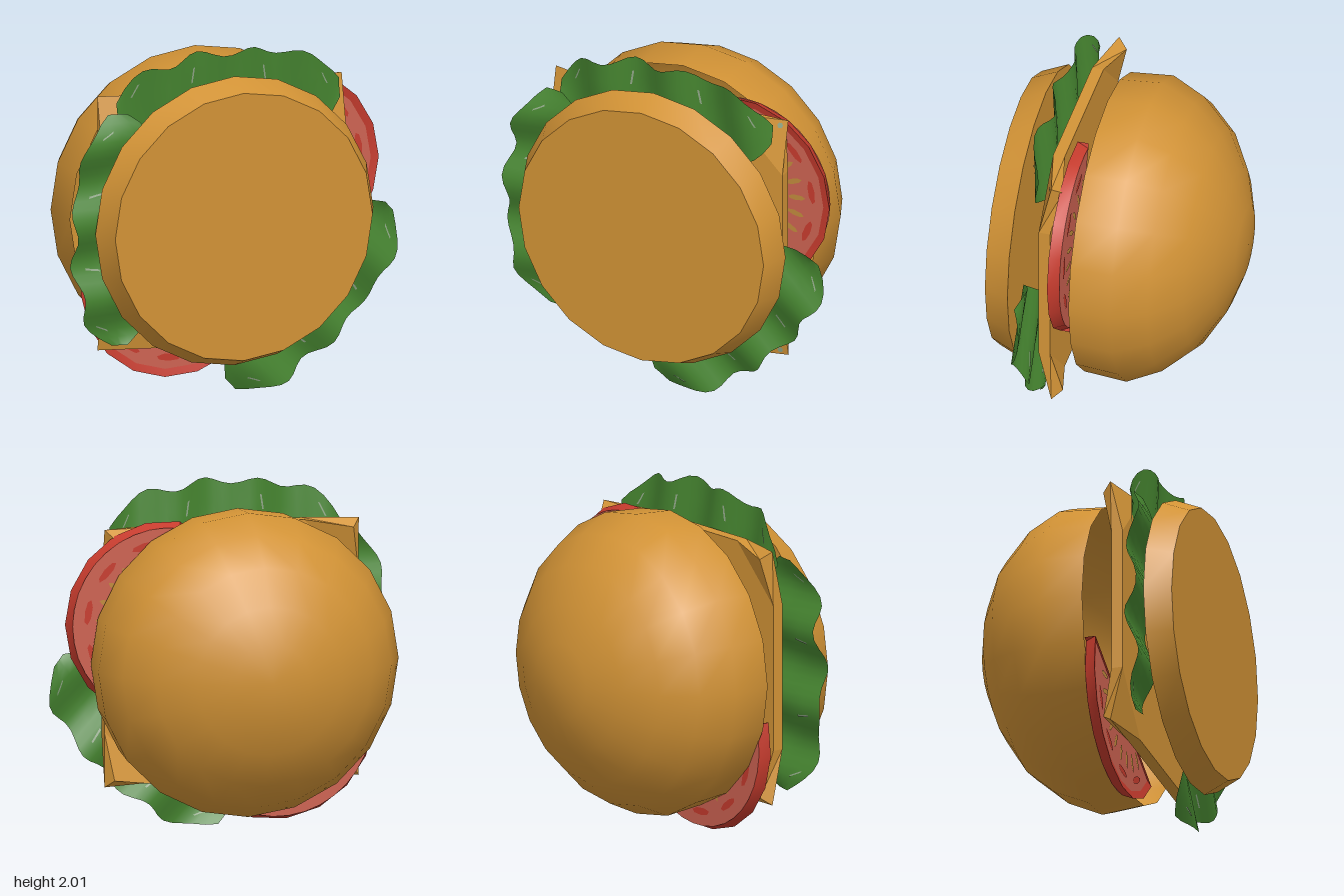
import * as THREE from 'three';
import { toCreasedNormals } from 'three/addons/utils/BufferGeometryUtils.js';

const mat = (name, color, side = THREE.FrontSide) => {
  const m = new THREE.MeshStandardMaterial({ color, side });
  m.name = name;
  return m;
};
const V = (x, y) => new THREE.Vector2(x, y);
const rad = THREE.MathUtils.degToRad;

export function createModel() {
  const bun = mat('bun orange', 0xd19235, THREE.DoubleSide);
  const cheese = mat('cheese orange', 0xd39437);
  const skin = mat('tomato red', 0xc63b2d, THREE.DoubleSide);
  const flesh = mat('tomato flesh', 0xcc6251, THREE.DoubleSide);
  const seed = mat('tomato seed', 0xc08a3c, THREE.DoubleSide);
  const green = mat('lettuce green', 0x468530, THREE.DoubleSide);
  const vein = mat('lettuce vein', 0x8fa586, THREE.DoubleSide);

  const model = new THREE.Group();
  model.name = 'burger';
  const add = (name, geometry, material, parent = model) => {
    const mesh = new THREE.Mesh(geometry, material);
    mesh.name = name;
    parent.add(mesh);
    return mesh;
  };

  // Buns: profiles of [radius, z] turned around the z axis; the top one is a hollow dome
  const turned = (name, profile) => {
    const g = new THREE.LatheGeometry(profile.map(([r, z]) => V(r, z)), 20);
    g.rotateX(Math.PI / 2);
    add(name, toCreasedNormals(g, 0.8), bun).position.set(-0.015, 1.008, 0);
  };
  turned('topBun', [[0, -0.672], [0.22, -0.65], [0.43, -0.575], [0.635, -0.455],
    [0.79, -0.285], [0.882, -0.09], [0.862, 0.16]]);
  turned('bottomBun', [[0, 0.523], [0.85, 0.523], [0.787, 0.672], [0, 0.672]]);

  // Cheese: square slab with its four corners folded backwards
  add('cheeseSlice', cheeseGeometry(0.747, 0.32), cheese).position.set(-0.015, 1.008, 0);
  for (const side of [1, -1]) {
    const fleck = add('cheeseFleck', new THREE.CircleGeometry(0.018, 6), vein);
    fleck.position.set(0.69, 1.008 + side * 0.715, 0.313);
    fleck.rotation.set(-side * 0.225, 0.225, 0);
  }

  // Tomatoes: part discs with a slightly dished front, a tapered skin and a straight cut edge
  const half = rad(80), R = 0.575, depth = 0.065, sink = 0.01;
  const segment = (r) => {
    const s = new THREE.Shape();
    s.absarc(0, 0, r, -half, half, false);
    return new THREE.ShapeGeometry(s, 8);
  };
  const tomato = (name, x, y, z, turn) => {
    const slice = new THREE.Group();
    slice.name = name;
    slice.position.set(x, y, z);
    slice.rotation.z = rad(turn);
    model.add(slice);

    const profile = [V(R * 0.95, 0), V(R, depth), V(0.53, depth - sink)];
    const rim = new THREE.LatheGeometry(profile, 8, Math.PI / 2 - half, half * 2);
    rim.rotateX(Math.PI / 2);
    add('tomatoSkin', toCreasedNormals(rim, 0.6), skin, slice);
    const cut = add('cutEdge', new THREE.PlaneGeometry(depth, 2 * R * Math.sin(half)), skin, slice);
    cut.rotation.y = -Math.PI / 2;
    cut.position.set(R * Math.cos(half), 0, depth / 2);

    for (const [side, zFace, dir, r] of [['front', depth - sink, 1, 0.53], ['back', 0, -1, R * 0.95]]) {
      add(side + 'Flesh', segment(r), flesh, slice).position.z = zFace;
      const blob = (label, material, a, at, sx, sy) => {
        const m = add(side + label, new THREE.CircleGeometry(1, 7), material, slice);
        m.scale.set(sx, sy, 1);
        m.rotation.z = a;
        m.position.set(at * Math.cos(a), at * Math.sin(a), zFace + dir * 0.003);
      };
      for (let i = -4; i <= 4; i++) {
        const a = i * 0.28;
        blob('Seed', seed, a, 0.36, 0.055, 0.017);
        if (i % 2) blob('Pulp', skin, a + 0.1, 0.46, 0.022, 0.075);
      }
    }
  };
  tomato('lowerTomato', -0.26, 0.615, 0.155, 244);
  tomato('sideTomato', 0.4, 1.225, 0.187, 20);

  // Lettuce: three ruffled leaves with rounded ends, [name, turn, z, outward tilt]
  const leafHalf = 0.68;
  const leaves = [['topLeaf', 0, 0.41, 0.08], ['leftLeaf', 90, 0.46, 0.1],
    ['lowerLeaf', -136, 0.448, -0.06]];
  for (const [name, turn, z0, tilt] of leaves) {
    const leaf = new THREE.Group();
    leaf.name = name;
    leaf.position.set(0, 1, z0);
    leaf.rotation.z = rad(turn);
    model.add(leaf);
    const ruffle = (g, lift = 0) => {
      const p = g.attributes.position;
      for (let i = 0; i < p.count; i++) {
        const t = p.getX(i) * 2, s = p.getY(i) + 0.5;
        const u = t * leafHalf;
        const inner = 0.45 + 0.19 * t ** 6;
        const outer = 0.98 - 0.13 * t ** 2 - 0.1 * t ** 10
          + 0.022 * Math.cos(2 * Math.PI * (u + 0.2) / 0.32);
        const v = inner + (outer - inner) * s;
        p.setXYZ(i, u, v, tilt * (v - 0.75) + 0.034 * Math.sin(2 * Math.PI * u / 0.45 + s) + lift);
      }
      g.computeVertexNormals();
      return g;
    };
    add('leafBlade', ruffle(new THREE.PlaneGeometry(1, 1, 28, 4)), green, leaf);
    // Short pale veins lying on each face of the leaf
    for (const lift of [0.004, -0.004]) {
      for (const at of [-0.42, -0.16, 0.16, 0.42]) {
        const g = new THREE.PlaneGeometry(0.008, 0.16, 1, 3);
        g.rotateZ(at * 0.4);
        g.translate(at, 0.25, 0);
        add('leafVein', ruffle(g, lift), vein, leaf);
      }
    }
  }
  return model;
}

// Square slab of half width h; each corner folds along a line k in from its tip
function cheeseGeometry(h, k) {
  const front = [], back = [];
  for (let q = 0; q < 4; q++) {
    const spin = (x, y, z) => new THREE.Vector3(x, y, z)
      .applyAxisAngle(new THREE.Vector3(0, 0, 1), q * Math.PI / 2);
    front.push(spin(h, h - k, 0.366), spin(h, h, 0.292), spin(h - k, h, 0.366));
    back.push(spin(h, h - k, 0.298), spin(h - 0.045, h - 0.045, 0.235), spin(h - k, h, 0.298));
  }
  const pts = [];
  const tri = (a, b, c) => pts.push(...a.toArray(), ...b.toArray(), ...c.toArray());
  const midF = new THREE.Vector3(0, 0, 0.366), midB = new THREE.Vector3(0, 0, 0.298);
  for (let i = 0; i < 12; i++) {
    const n = (i + 1) % 12;
    // Outer edge
    tri(front[i], back[i], back[n]);
    tri(front[i], back[n], front[n]);
    if (i % 3 === 0) {
      // Folded corner and the flat part behind it
      tri(front[i], front[i + 1], front[i + 2]);
      tri(back[i], back[i + 2], back[i + 1]);
      tri(midF, front[i], front[i + 2]);
      tri(midB, back[i + 2], back[i]);
    } else if (i % 3 === 2) {
      // Flat part along a straight side
      tri(midF, front[i], front[n]);
      tri(midB, back[n], back[i]);
    }
  }
  const g = new THREE.BufferGeometry();
  g.setAttribute('position', new THREE.Float32BufferAttribute(pts, 3));
  g.computeVertexNormals();
  return g;
}
